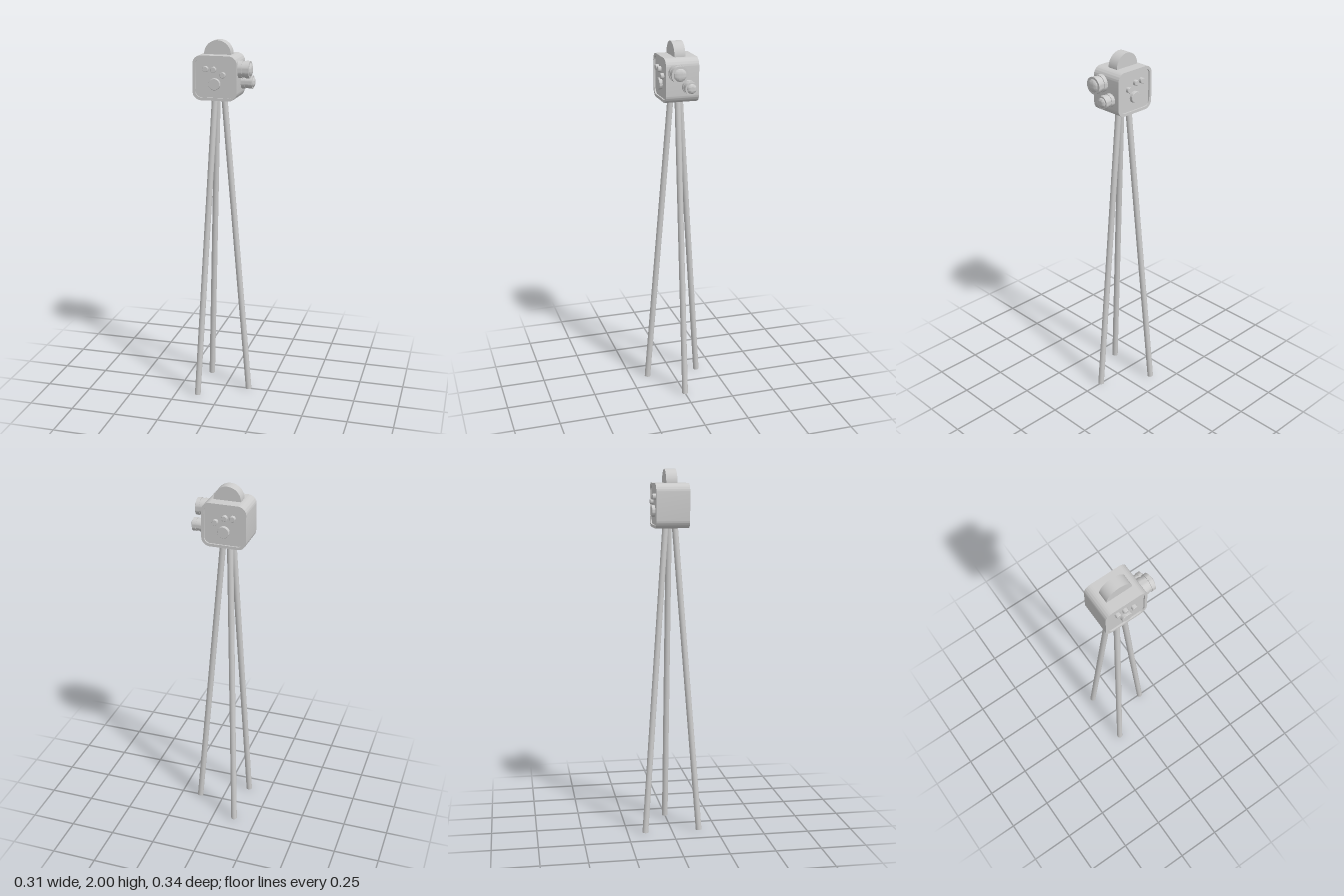
import * as THREE from 'three';
import { toCreasedNormals } from 'three/addons/utils/BufferGeometryUtils.js';

const CX = -0.037, CY = 1.808; // body centre
const material = new THREE.MeshStandardMaterial({ color: 0xcccccc });

function add(parent, name, geometry) {
  const mesh = new THREE.Mesh(geometry, material);
  mesh.name = name;
  parent.add(mesh);
  return mesh;
}

// Rounded rectangle centred on the origin
function roundedRect(w, h, r, Type = THREE.Shape) {
  const s = new Type(), x = w / 2 - r, y = h / 2 - r;
  s.absarc(x, y, r, 0, Math.PI / 2);
  s.absarc(-x, y, r, Math.PI / 2, Math.PI);
  s.absarc(-x, -y, r, Math.PI, Math.PI * 1.5);
  s.absarc(x, -y, r, Math.PI * 1.5, Math.PI * 2);
  s.closePath();
  return s;
}

function extrude(shape, depth) {
  const g = new THREE.ExtrudeGeometry(shape, { depth, bevelEnabled: false, curveSegments: 10 });
  g.translate(0, 0, -depth / 2);
  return toCreasedNormals(g, 0.6);
}

// Turned part: [radius, height] points, sharp at the corners
function turned(points) {
  const g = new THREE.LatheGeometry(points.map(([r, y]) => new THREE.Vector2(r, y)), 32);
  return toCreasedNormals(g, 0.5);
}

// Round leg between two points
function leg(parent, name, a, b, radius) {
  const dir = b.clone().sub(a);
  const mesh = add(parent, name, new THREE.CylinderGeometry(radius, radius, dir.length(), 24));
  mesh.position.copy(a).add(b).multiplyScalar(0.5);
  mesh.quaternion.setFromUnitVectors(new THREE.Vector3(0, 1, 0), dir.normalize());
}

// Stepped barrel with a domed glass, pointing along +x
function lens(parent, name, y, z, r) {
  const glass = r * 0.74;
  const points = [
    [r, -0.01], [r, 0.021], [r * 0.93, 0.021], [r * 0.93, 0.039],
    [r, 0.039], [r, 0.06], [glass, 0.06],
  ];
  for (let i = 1; i <= 8; i++) {
    const t = (i / 8) * Math.PI / 2;
    points.push([glass * Math.cos(t), 0.06 + 0.012 * Math.sin(t)]);
  }
  points[points.length - 1][0] = 0;
  const mesh = add(parent, name, turned(points));
  mesh.rotation.z = -Math.PI / 2;
  mesh.position.set(0.083, y, z);
}

export function createModel() {
  const model = new THREE.Group();
  model.name = 'tripodCamera';

  // Housing: rounded shell with a shallow recessed panel on both sides
  const body = new THREE.Group();
  body.name = 'cameraBody';
  body.position.set(CX, CY, 0);
  model.add(body);
  const shell = roundedRect(0.24, 0.236, 0.045);
  shell.holes.push(roundedRect(0.21, 0.206, 0.032, THREE.Path));
  add(body, 'bodyShell', extrude(shell, 0.18));
  add(body, 'sidePanels', extrude(roundedRect(0.212, 0.208, 0.033), 0.164));

  // Film reel half sunk into the top
  const reel = add(model, 'filmReel', new THREE.CylinderGeometry(0.073, 0.073, 0.06, 48));
  reel.rotation.x = Math.PI / 2;
  reel.position.set(CX, 1.927, 0);

  // Dials, the same on both sides
  const dials = [
    ['largeDial', -0.037, 1.778, 0.031],
    ['smallDial', -0.085, 1.856, 0.015],
    ['smallDial', -0.043, 1.854, 0.015],
    ['smallDial', 0.008, 1.827, 0.015],
  ];
  for (const side of [1, -1]) {
    for (const [name, x, y, r] of dials) {
      const dial = add(model, name, turned([
        [r, 0], [r, 0.021], [r - 0.002, 0.023], [0, 0.023],
      ]));
      dial.rotation.x = side * Math.PI / 2;
      dial.position.set(x, y, side * 0.077);
    }
  }

  // Pair of lenses
  lens(model, 'upperLens', 1.853, 0.032, 0.046);
  lens(model, 'lowerLens', 1.778, -0.031, 0.035);

  // Three splayed legs, one forward under the lenses
  for (let i = 0; i < 3; i++) {
    const a = (i * Math.PI * 2) / 3;
    const at = (r, y) => new THREE.Vector3(CX + r * Math.cos(a), y, r * Math.sin(a));
    leg(model, 'tripodLeg', at(0.175, 0.0015), at(0.027, 1.73), 0.0165);
  }
  return model;
}
